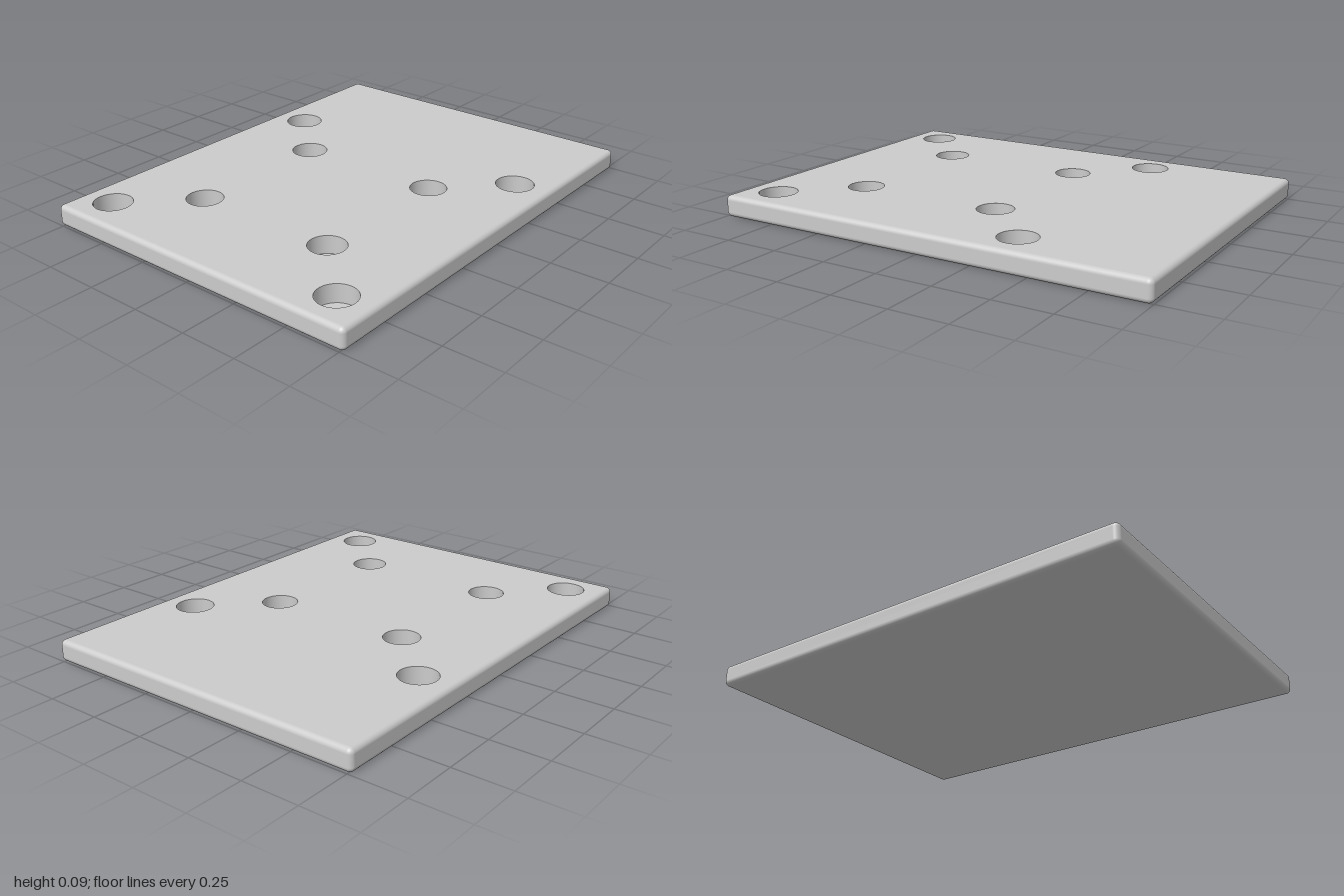
import * as THREE from 'three';
import { RoundedBoxGeometry } from 'three/addons/geometries/RoundedBoxGeometry.js';

const W = 2, H = 0.095, D = 1.536, R = 0.022; // plate size and edge rounding
const HOLE_DEPTH = 0.08, SEGMENTS = 64;

// Two square rings of blind holes around a shared centre
const HOLES = [];
for (const [offset, radius] of [[0.608, 0.084], [0.338, 0.08]])
  for (const sx of [-1, 1])
    for (const sz of [-1, 1]) HOLES.push({ x: -0.232 + sx * offset, z: sz * offset, radius });

// Rounded plate without its flat top, so that the drilled face can replace it
function openPlate() {
  const geometry = new RoundedBoxGeometry(W, H, D, 6, R);
  const p = geometry.attributes.position, n = geometry.attributes.normal;
  const positions = [], normals = [];
  for (let i = 0; i < p.count; i += 3) {
    const corners = [i, i + 1, i + 2];
    if (corners.every(j => p.getY(j) > H / 2 - 1e-6)) continue;
    for (const j of corners) {
      positions.push(p.getX(j), p.getY(j), p.getZ(j));
      normals.push(n.getX(j), n.getY(j), n.getZ(j));
    }
  }
  const open = new THREE.BufferGeometry();
  open.setAttribute('position', new THREE.Float32BufferAttribute(positions, 3));
  open.setAttribute('normal', new THREE.Float32BufferAttribute(normals, 3));
  return open.translate(0, H / 2, 0);
}

// Flat top with round openings
function drilledTop() {
  const x = W / 2 - R, z = D / 2 - R;
  const shape = new THREE.Shape([[-x, -z], [x, -z], [x, z], [-x, z]].map(c => new THREE.Vector2(...c)));
  for (const h of HOLES)
    shape.holes.push(new THREE.Path().absarc(h.x, -h.z, h.radius, 0, Math.PI * 2, true));
  return new THREE.ShapeGeometry(shape, SEGMENTS / 2).rotateX(-Math.PI / 2).translate(0, H, 0);
}

export function createModel() {
  const model = new THREE.Group();
  const material = new THREE.MeshStandardMaterial({ color: 0xcccccc });
  const inside = new THREE.MeshStandardMaterial({ color: 0xcccccc, side: THREE.BackSide });
  const add = (name, geometry, mat = material, parent = model) => {
    const mesh = new THREE.Mesh(geometry, mat);
    mesh.name = name;
    parent.add(mesh);
    return mesh;
  };

  add('plateBody', openPlate());
  add('plateTop', drilledTop());

  // Blind holes: inward-facing wall and flat floor
  for (const { x, z, radius } of HOLES) {
    const hole = new THREE.Group();
    hole.name = 'blindHole';
    hole.position.set(x, H - HOLE_DEPTH, z);
    const wall = new THREE.CylinderGeometry(radius, radius, HOLE_DEPTH, SEGMENTS, 1, true);
    add('holeWall', wall.translate(0, HOLE_DEPTH / 2, 0), inside, hole);
    add('holeFloor', new THREE.CircleGeometry(radius, SEGMENTS).rotateX(-Math.PI / 2), material, hole);
    model.add(hole);
  }
  return model;
}
